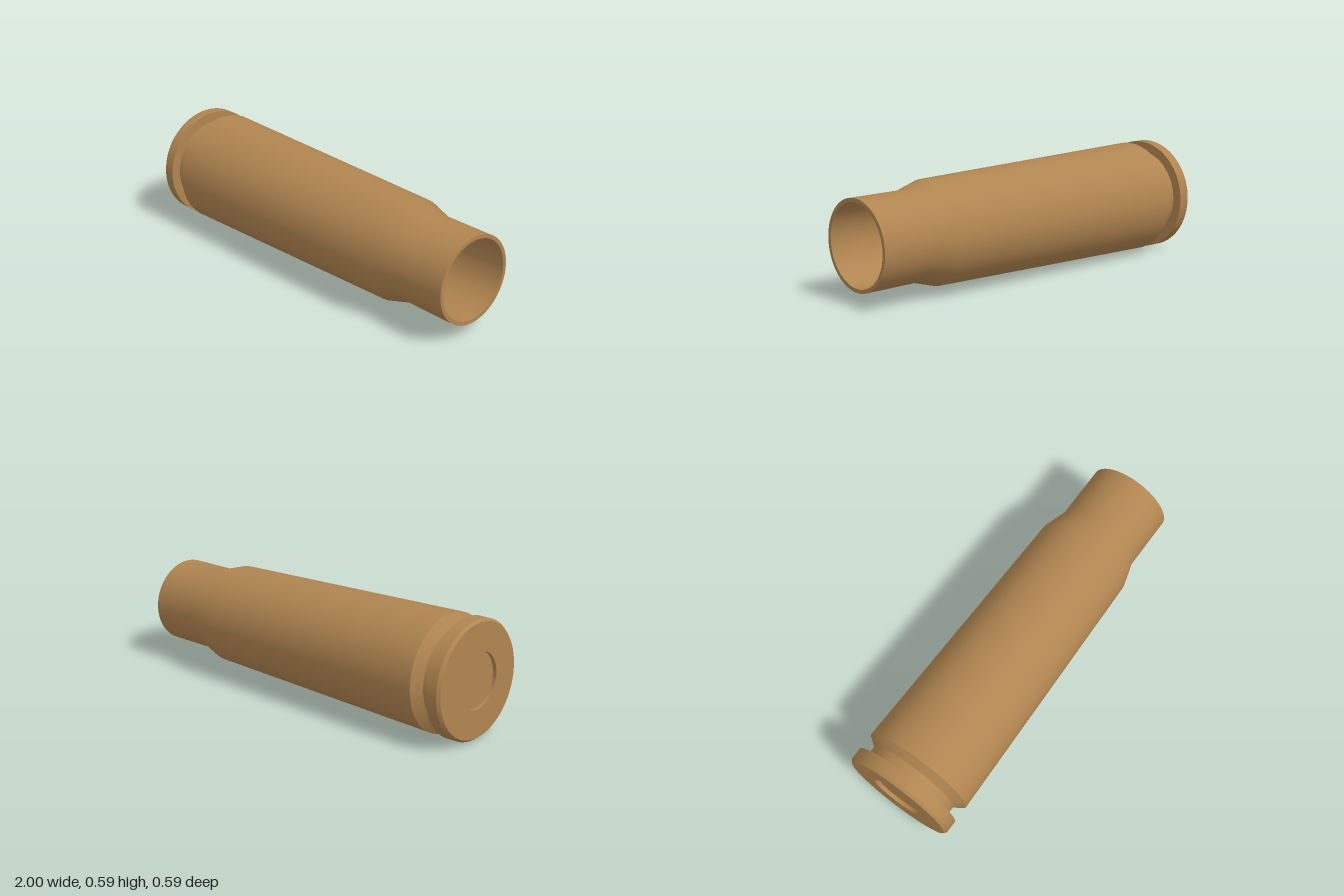
import * as THREE from 'three';
import { toCreasedNormals } from 'three/addons/utils/BufferGeometryUtils.js';

const SEGMENTS = 96;
const RADIUS = 0.293;

// Revolves [radius, position along the axis] pairs
function revolve(profile) {
  return new THREE.LatheGeometry(profile.map(([r, a]) => new THREE.Vector2(r, a)), SEGMENTS);
}

export function createModel() {
  const group = new THREE.Group();
  group.name = 'cartridgeCase';
  const brass = new THREE.MeshStandardMaterial({ color: 0xb08550 });

  const add = (name, geometry) => {
    const mesh = new THREE.Mesh(geometry, brass);
    mesh.name = name;
    mesh.rotation.z = -Math.PI / 2; // lay the axis along x, mouth towards +x
    mesh.position.y = RADIUS;
    group.add(mesh);
  };

  // Head with recessed primer pocket, rim and extractor groove
  add('head', toCreasedNormals(revolve([
    [0, -0.98], [0.14, -0.98], [0.14, -1],
    [0.281, -1], [RADIUS, -0.985], [RADIUS, -0.925],
    [0.243, -0.925], [0.243, -0.872], [RADIUS, -0.835],
  ]), 0.5));

  // Tapered body, shoulder and straight neck
  add('body', revolve([
    [RADIUS, -0.835], [0.26, 0.575], [0.222, 0.705], [0.222, 1],
  ]));

  // Flat lip around the mouth
  add('mouthLip', revolve([[0.222, 1], [0.203, 1]]));

  // Hollow interior down to a closed floor
  add('cavity', revolve([
    [0.203, 1], [0.203, 0.7], [0.24, 0.57], [0.262, -0.76], [0, -0.8],
  ]));

  return group;
}
